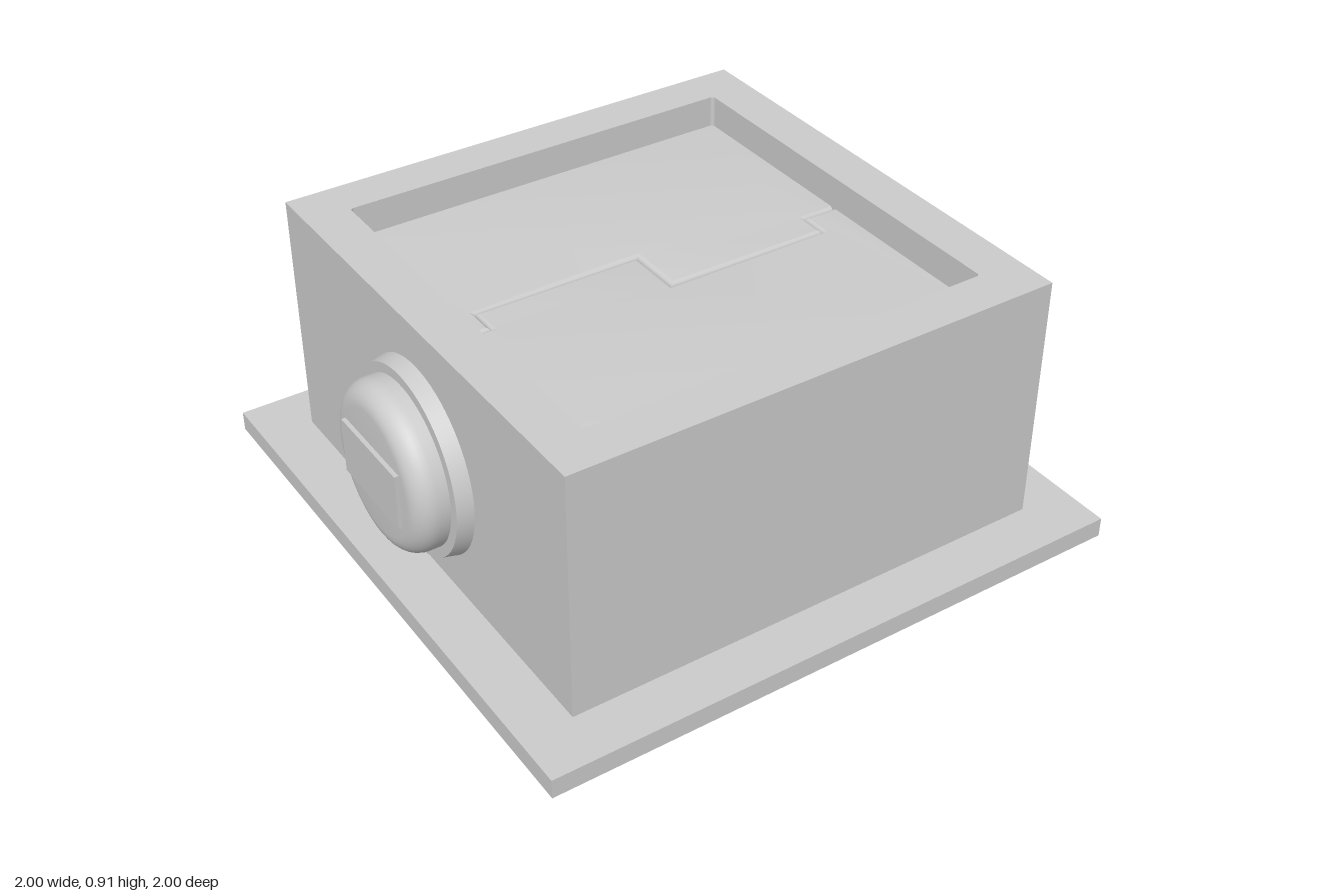
import * as THREE from 'three';
import { toCreasedNormals } from 'three/addons/utils/BufferGeometryUtils.js';

const grey = (extra = {}) => new THREE.MeshStandardMaterial({ color: 0xcccccc, ...extra });

function square(h, Type = THREE.Shape, r = 0) {
  const s = new Type();
  s.moveTo(-h + r, -h);
  for (const [cx, cy, a] of [[1, -1, -0.5], [1, 1, 0], [-1, 1, 0.5], [-1, -1, 1]]) {
    if (r) s.absarc(cx * (h - r), cy * (h - r), r, a * Math.PI, (a + 0.5) * Math.PI, false);
    else s.lineTo(cx * h, cy * h);
  }
  return s;
}

// Extrudes a plan shape (shape y = -z) upward from y0
function slab(shape, y0, height, options = {}) {
  const g = new THREE.ExtrudeGeometry(shape, { depth: height, bevelEnabled: false, ...options });
  return g.rotateX(-Math.PI / 2).translate(0, y0, 0);
}

export function createModel() {
  const model = new THREE.Group();
  const add = (name, geometry, material = grey(), parent = model) => {
    const mesh = new THREE.Mesh(geometry, material);
    mesh.name = name;
    parent.add(mesh);
  };
  const boreR = 0.53;

  // Base plate around the round bore
  const plate = square(1);
  plate.holes.push(new THREE.Path().absarc(0, 0, boreR, 0, Math.PI * 2, true));
  add('basePlate', slab(plate, 0.001, 0.066, { curveSegments: 24 }));

  // Thin underside with a square opening
  const underside = square(1);
  underside.holes.push(square(0.357, THREE.Path));
  add('underside', new THREE.ShapeGeometry(underside).rotateX(Math.PI / 2), grey({ side: THREE.DoubleSide }));

  // Bore seen through the opening, closed at the top
  add('bore', new THREE.CylinderGeometry(boreR, boreR, 0.65, 48).translate(0, 0.392, 0),
    grey({ flatShading: true, side: THREE.DoubleSide }));

  // Square housing with the recess for the doors
  const housing = square(0.828);
  housing.holes.push(square(0.68, THREE.Path, 0.012));
  add('housing', slab(housing, 0.067, 0.84));

  // Two interlocking doors with rounded edges meeting along a stepped seam
  const bevel = 0.018, reach = 0.72;
  const seam = [[-reach, -0.01], [-0.57, -0.01], [-0.57, -0.105], [-0.003, -0.105],
    [-0.003, 0.085], [0.565, 0.085], [0.565, -0.01], [reach, -0.01]];
  for (const [name, side] of [['frontDoor', 1], ['backDoor', -1]]) {
    const outline = [...seam, [reach, side * reach], [-reach, side * reach]];
    const shape = new THREE.Shape(outline.map(([x, z]) => new THREE.Vector2(x, -z)));
    add(name, toCreasedNormals(slab(shape, 0.74, 0.042, {
      bevelEnabled: true, bevelSize: bevel, bevelThickness: bevel, bevelOffset: -bevel, bevelSegments: 5,
    }), 0.6));
  }

  // Round knob on the side wall, built along y and turned to face -x
  const knob = new THREE.Group();
  knob.name = 'sideKnob';
  knob.position.set(-0.82, 0.455, 0);
  knob.rotation.z = Math.PI / 2;
  model.add(knob);
  const turned = (points) => toCreasedNormals(
    new THREE.LatheGeometry(points.map(([r, y]) => new THREE.Vector2(r, y)), 64), 0.6);

  add('knobFlange', turned([[0.318, 0], [0.305, 0.06], [0, 0.06]]), grey(), knob);

  const dome = [[0.272, 0.05]];
  for (let i = 0; i <= 8; i++) {
    const a = (i / 8) * Math.PI / 2;
    dome.push([0.202 + 0.07 * Math.cos(a), 0.094 + 0.07 * Math.sin(a)]);
  }
  add('knobDome', turned([...dome, [0, 0.164]]), grey(), knob);
  add('knobGrip', new THREE.BoxGeometry(0.188, 0.03, 0.335).translate(0, 0.163, 0), grey(), knob);

  return model;
}
